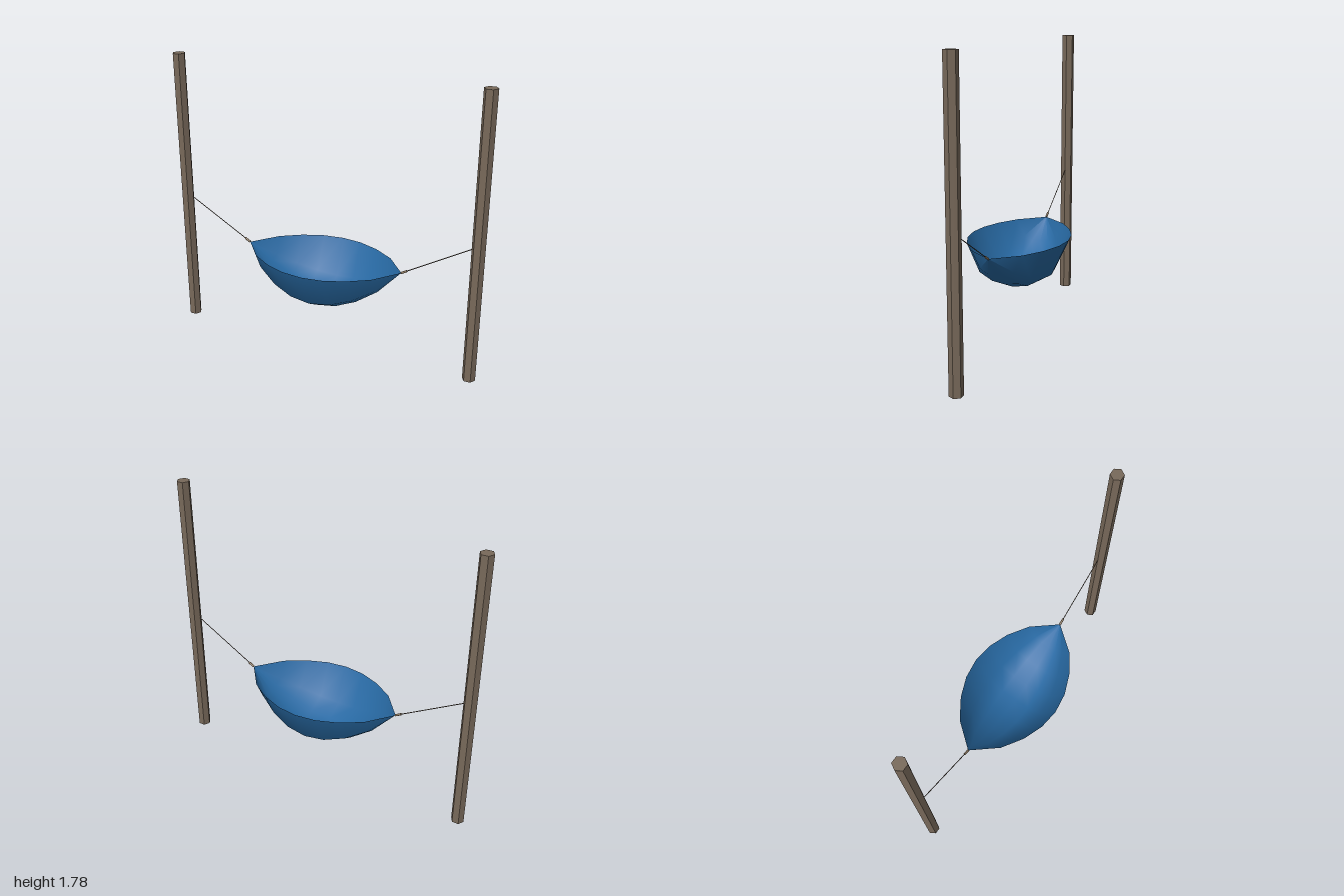
import * as THREE from 'three';

const wood = new THREE.MeshStandardMaterial({ color: 0x78695a });
wood.name = 'wood';
wood.flatShading = true;
const cloth = new THREE.MeshStandardMaterial({ color: 0x286aa4, side: THREE.DoubleSide });
cloth.name = 'blueCloth';
const cord = new THREE.MeshStandardMaterial({ color: 0x5c4f42 });
cord.name = 'darkCord';
const binding = new THREE.MeshStandardMaterial({ color: 0x8c7860 });
binding.name = 'tanBinding';

// Cylinder running from point a to point b
function rod(name, a, b, radius, sides, material) {
  const dir = b.clone().sub(a);
  const mesh = new THREE.Mesh(new THREE.CylinderGeometry(radius, radius, dir.length(), sides), material);
  mesh.position.copy(a).add(b).multiplyScalar(0.5);
  mesh.quaternion.setFromUnitVectors(new THREE.Vector3(0, 1, 0), dir.normalize());
  mesh.name = name;
  return mesh;
}

// Boat-shaped sling: flat rim, elliptical cross-sections, pointed ends
function slingGeometry() {
  const halfLength = 0.51, halfWidth = 0.305, depth = 0.3, rimY = 0.612;
  const geometry = new THREE.PlaneGeometry(2, 2, 8, 6).rotateX(-Math.PI / 2);
  const p = geometry.attributes.position;
  for (let i = 0; i < p.count; i++) {
    const u = p.getX(i), v = p.getZ(i);
    const s = Math.max(0, Math.cos(u * Math.PI / 2));
    const sag = Math.sqrt(Math.max(0, 1 - v * v));
    p.setXYZ(i, u * halfLength, rimY - depth * Math.pow(s, 0.8) * sag, v * halfWidth * Math.pow(s, 0.7));
  }
  geometry.computeVertexNormals();
  return geometry;
}

export function createModel() {
  const model = new THREE.Group();
  model.name = 'hammock';

  const sling = new THREE.Mesh(slingGeometry(), cloth);
  sling.name = 'sling';
  model.add(sling);

  for (const side of [-1, 1]) {
    const label = side > 0 ? 'left' : 'right';

    // Six-sided post with corners pointing along x
    const post = new THREE.Mesh(new THREE.CylinderGeometry(0.04, 0.04, 1.78, 6).rotateY(Math.PI / 2), wood);
    post.position.set(side * 0.96, 0.89, 0);
    post.name = label + 'Post';
    model.add(post);

    // Rope and its wrapped end at the sling tip
    const tip = new THREE.Vector3(side * 0.51, 0.612, 0);
    const anchor = new THREE.Vector3(side * 0.925, 0.852, 0);
    model.add(rod(label + 'Rope', tip, anchor, 0.0025, 6, cord));
    model.add(rod(label + 'Binding', tip, tip.clone().lerp(anchor, 0.085), 0.007, 8, binding));
  }
  return model;
}
